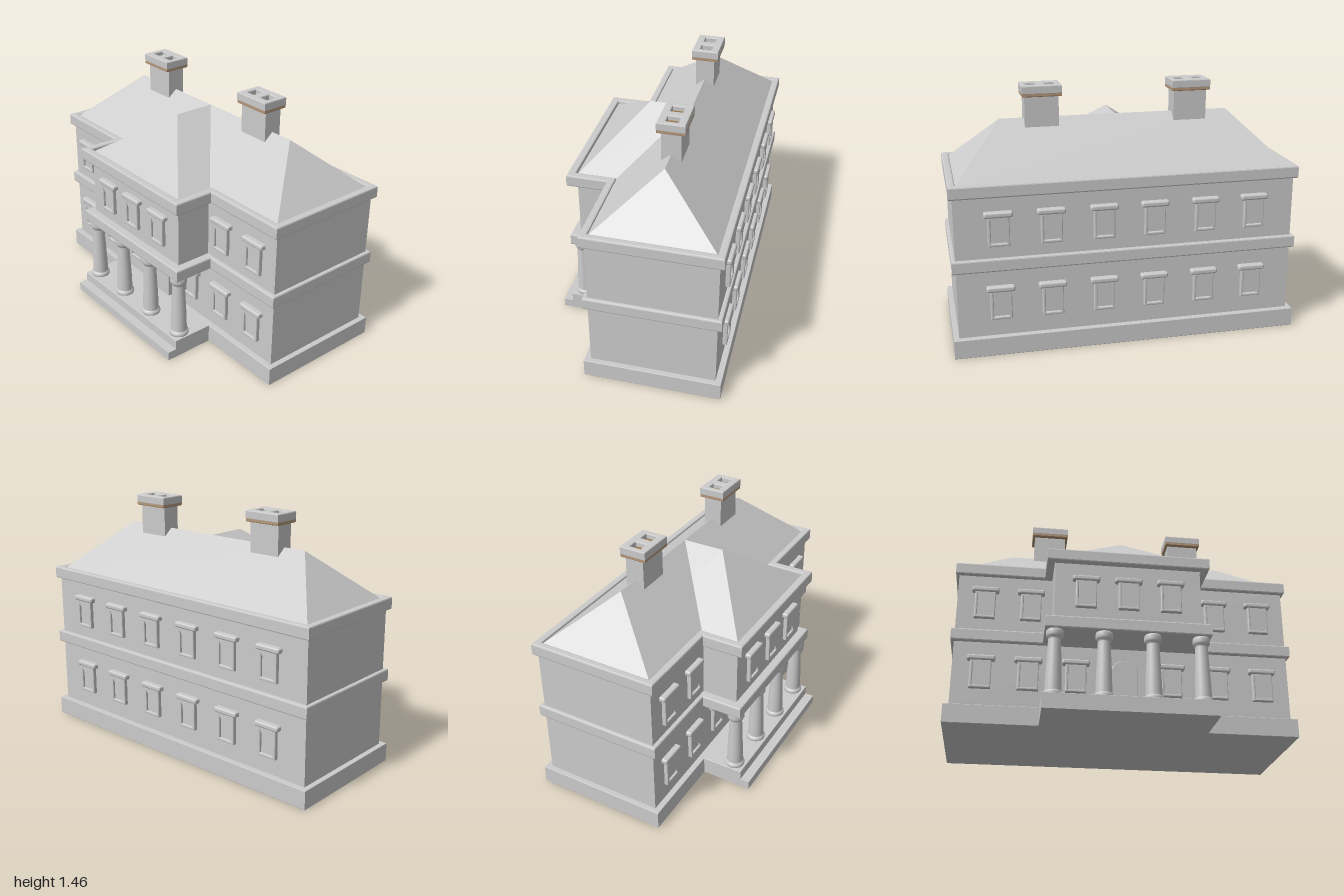
import * as THREE from 'three';
import { RoundedBoxGeometry } from 'three/addons/geometries/RoundedBoxGeometry.js';

const grey = new THREE.MeshStandardMaterial({ color: 0xcccccc });
const brown = new THREE.MeshStandardMaterial({ color: 0x9a7040 });
const tan = new THREE.MeshStandardMaterial({ color: 0xb8987a });

function add(parent, name, geometry, x = 0, y = 0, z = 0, material = grey) {
  const mesh = new THREE.Mesh(geometry, material);
  mesh.name = name;
  mesh.position.set(x, y, z);
  parent.add(mesh);
  return mesh;
}

// Box given by its limits
function block(parent, name, [x0, x1], [y0, y1], [z0, z1], material) {
  return add(parent, name, new THREE.BoxGeometry(x1 - x0, y1 - y0, z1 - z0),
    (x0 + x1) / 2, (y0 + y1) / 2, (z0 + z1) / 2, material);
}

const points = (list) => list.map(([x, y]) => new THREE.Vector2(x, y));

// Outline with a slightly bevelled edge, depth along +z
function extrude(shape, depth, bevel, curveSegments = 12) {
  const geometry = new THREE.ExtrudeGeometry(shape, {
    depth: depth - 2 * bevel, bevelEnabled: bevel > 0, bevelThickness: bevel,
    bevelSize: bevel, bevelOffset: -bevel, bevelSegments: 2, curveSegments,
  });
  return geometry.translate(0, 0, bevel);
}

// Horizontal slab from a plan outline in (x, -z)
function slab(outline, height, bevel, holes = []) {
  const shape = new THREE.Shape(points(outline));
  holes.forEach((h) => shape.holes.push(new THREE.Path(points(h))));
  return extrude(shape, height, bevel).rotateX(-Math.PI / 2);
}

const rect = (x0, x1, y0, y1) => [[x0, y0], [x1, y0], [x1, y1], [x0, y1]];

// Plan of the house: wide main block with a narrower projection in front
const tee = (w, back, front, bayW, bayFront) => [
  [-w, -back], [-w, -front], [-bayW, -front], [-bayW, -bayFront],
  [bayW, -bayFront], [bayW, -front], [w, -front], [w, -back],
];

// Hipped roof with its ridge along x
function hipRoof(x0, x1, r0, r1, halfWidth, y0, y1) {
  const a = [x0, y0, halfWidth], b = [x1, y0, halfWidth];
  const c = [x1, y0, -halfWidth], d = [x0, y0, -halfWidth];
  const e = [r0, y1, 0], f = [r1, y1, 0];
  const faces = [a, b, f, a, f, e, c, d, e, c, e, f, b, c, f, d, a, e];
  const geometry = new THREE.BufferGeometry();
  geometry.setAttribute('position', new THREE.Float32BufferAttribute(faces.flat(), 3));
  geometry.computeVertexNormals();
  return geometry;
}

// Window with frame, recessed pane and hood; origin at the sill on the wall
const frameShape = new THREE.Shape(points(rect(-0.06, 0.06, 0, 0.175)));
frameShape.holes.push(new THREE.Path(points(rect(-0.043, 0.043, 0.017, 0.165))));
const frameGeometry = extrude(frameShape, 0.026, 0.005);
const paneGeometry = new THREE.BoxGeometry(0.09, 0.155, 0.024);
const hoodGeometry = new RoundedBoxGeometry(0.158, 0.032, 0.045, 3, 0.011);

function makeWindow(parent, x, y, z, back = false) {
  const group = new THREE.Group();
  group.name = 'window';
  add(group, 'windowFrame', frameGeometry);
  add(group, 'windowPane', paneGeometry, 0, 0.09, 0);
  add(group, 'windowHood', hoodGeometry, 0, 0.181, 0.012);
  group.position.set(x, y, z);
  if (back) group.rotation.y = Math.PI;
  parent.add(group);
}

// Round-headed outline for the door
function arch(halfWidth, spring, Type = THREE.Shape, bottom = 0) {
  const path = new Type();
  path.moveTo(-halfWidth, bottom);
  path.lineTo(halfWidth, bottom);
  path.lineTo(halfWidth, spring);
  path.absarc(0, spring, halfWidth, 0, Math.PI, false);
  path.closePath();
  return path;
}

function makeDoor(parent) {
  const door = new THREE.Group();
  door.name = 'frontDoor';
  const surround = arch(0.077, 0.228);
  surround.holes.push(arch(0.06, 0.228, THREE.Path, 0.003));
  add(door, 'doorSurround', extrude(surround, 0.03, 0.004));
  add(door, 'doorLeaf', extrude(arch(0.063, 0.228), 0.012, 0));
  add(door, 'transom', new THREE.BoxGeometry(0.12, 0.012, 0.022), 0, 0.222, 0.011);
  add(door, 'fanlight', extrude(arch(0.045, 0.237, THREE.Shape, 0.234), 0.017, 0.002));
  for (const x of [-0.027, 0.027]) {
    for (const [y, h] of [[0.05, 0.07], [0.15, 0.1]]) {
      add(door, 'doorPanel', new RoundedBoxGeometry(0.04, h, 0.012, 1, 0.003), x, y, 0.012);
    }
  }
  door.position.set(0, 0.11, 0.21);
  parent.add(door);
}

export function createModel() {
  const house = new THREE.Group();
  house.name = 'house';

  // Plinth with porch platform and step
  add(house, 'plinth', slab(tee(1, -0.545, 0.245, 0.475, 0.49), 0.11, 0.003));
  block(house, 'frontStep', [-0.475, 0.475], [0, 0.053], [0.4, 0.545]);

  // Walls
  block(house, 'mainWalls', [-0.97, 0.97], [0.1, 0.97], [-0.51, 0.21]);
  block(house, 'upperBay', [-0.42, 0.42], [0.54, 0.96], [0.1, 0.425]);

  // Floor band and cornice
  const band = tee(0.99, -0.535, 0.235, 0.47, 0.475);
  add(house, 'floorBand', slab(band, 0.073, 0.008), 0, 0.497, 0);
  add(house, 'cornice', slab(band, 0.072, 0.008,
    [tee(0.948, -0.493, 0.193, 0.424, 0.428)]), 0, 0.919, 0);

  // Roofs
  add(house, 'mainRoof', hipRoof(-0.955, 0.955, -0.67, 0.67, 0.35, 0.973, 1.265), 0, 0, -0.15);
  add(house, 'bayRoof',
    hipRoof(-0.15, 0.43, -0.15, 0.1, 0.425, 0.967, 1.265).rotateY(-Math.PI / 2));

  // Chimneys with two flues each
  const flues = [-0.053, 0.053].map((x) => rect(x - 0.028, x + 0.028, -0.034, 0.034));
  for (const side of [-1, 1]) {
    const chimney = new THREE.Group();
    chimney.name = 'chimney';
    block(chimney, 'chimneyShaft', [-0.097, 0.097], [1.1, 1.405], [-0.055, 0.055]);
    add(chimney, 'chimneyBand', slab(rect(-0.112, 0.112, -0.078, 0.078), 0.03, 0.005),
      0, 1.393, 0, tan);
    add(chimney, 'chimneyCap', slab(rect(-0.113, 0.113, -0.079, 0.079), 0.05, 0.006, flues),
      0, 1.407, 0);
    for (const x of [-0.053, 0.053]) {
      block(chimney, 'flue', [x - 0.03, x + 0.03], [1.4, 1.428], [-0.036, 0.036], brown);
    }
    chimney.position.set(side * 0.434, 0, -0.15);
    house.add(chimney);
  }

  // Porch columns
  const columnGeometry = new THREE.LatheGeometry(points([
    [0, 0], [0.055, 0], [0.057, 0.008], [0.055, 0.022], [0.047, 0.026],
    [0.047, 0.03], [0.045, 0.12], [0.036, 0.33], [0.036, 0.338], [0.044, 0.345],
    [0.049, 0.355], [0.049, 0.378], [0.045, 0.39], [0, 0.39],
  ]), 24);
  for (const x of [-0.412, -0.137, 0.137, 0.412]) {
    add(house, 'porchColumn', columnGeometry, x, 0.109, 0.42);
  }

  // Windows and door
  for (const side of [-1, 1]) {
    for (const y of [0.213, 0.643]) {
      for (const x of [0.545, 0.81]) makeWindow(house, side * x, y, 0.21);
      for (const x of [0.145, 0.44, 0.73]) makeWindow(house, side * x, y, -0.51, true);
    }
    makeWindow(house, side * 0.275, 0.213, 0.21);
    makeWindow(house, side * 0.243, 0.643, 0.425);
  }
  makeWindow(house, 0, 0.643, 0.425);
  makeDoor(house);

  return house;
}
